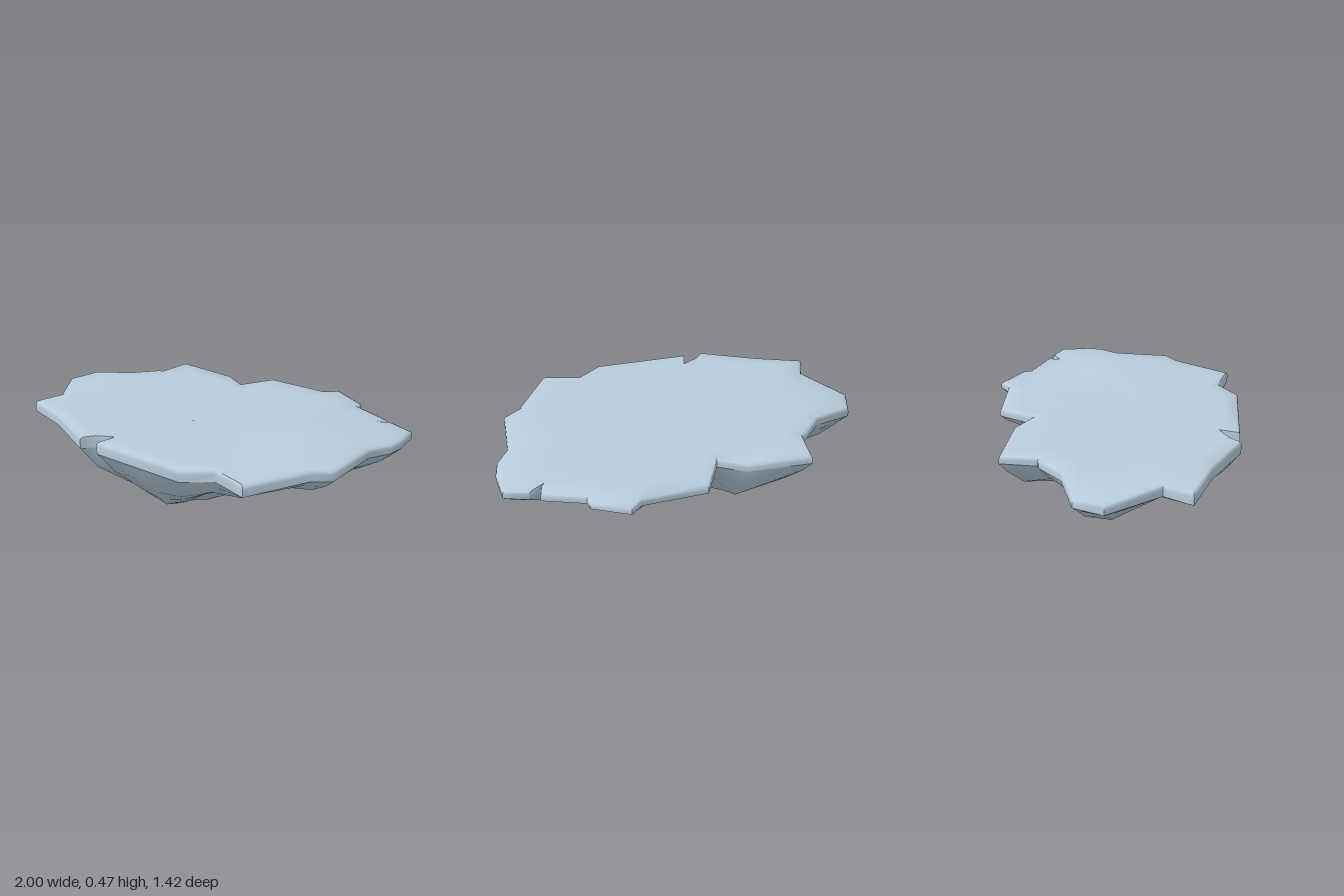
import * as THREE from 'three';
import { toCreasedNormals } from 'three/addons/utils/BufferGeometryUtils.js';

// Island outline, clockwise from above: x, z, and which rock profile hangs beneath
// (0 ramp, 1 shallow, 2 shelf, 3 lobe, 4 keel, with blends between)
const OUTLINE = [
  [-0.03, -0.62, 1], [0.31, -0.655, 1], [0.37, -0.715, 1], [0.56, -0.63, 1],
  [0.57, -0.585, 1], [0.79, -0.52, 1.2], [0.78, -0.455, 1.2], [0.845, -0.5, 1.3],
  [0.97, -0.465, 1.6], [0.995, -0.31, 2], [0.985, -0.22, 2], [0.925, -0.11, 2],
  [0.925, 0.21, 2], [0.84, 0.28, 1.5], [0.68, 0.6, 1.2], [0.48, 0.56, 2.2],
  [0.35, 0.67, 3.4], [0.08, 0.685, 4], [-0.18, 0.7, 3.8], [-0.16, 0.6, 3.7],
  [-0.25, 0.655, 3.6], [-0.29, 0.71, 3.5], [-0.6, 0.58, 2], [-0.86, 0.51, 1.2],
  [-0.81, 0.36, 1.2], [-1.0, 0.11, 2.7], [-0.96, -0.045, 2.9], [-0.745, -0.14, 2.6],
  [-0.64, -0.27, 2], [-0.615, -0.28, 2.2], [-0.61, -0.48, 2.9], [-0.26, -0.485, 0],
  [-0.12, -0.415, 0.7],
];
const CENTRE = [0.02, 0.18];

// Underside sections: reach toward the rim, then the height of each rock profile
const SECTIONS = [
  [0.95, [0.31, 0.365, 0.35, 0.33, 0.35]],
  [0.86, [0.185, 0.34, 0.3, 0.245, 0.275]],
  [0.7, [0.14, 0.295, 0.285, 0.195, 0.18]],
  [0.6, [0.105, 0.26, 0.21, 0.17, 0.115]],
  [0.5, [0.075, 0.22, 0.185, 0.145, 0.06]],
  [0.3, [0.035, 0.115, 0.1, 0.09, 0.02]],
  [0.14, [0.012, 0.02, 0.02, 0.012, 0.003]],
];

// Gentle rise and fall of the top surface
function topHeight(x, z) {
  const leftDip = 0.025 * THREE.MathUtils.smoothstep(-x, 0.75, 1);
  const backDip = 0.015 * THREE.MathUtils.smoothstep(-z, 0.2, 0.7);
  const hump = 0.025 * Math.exp(-((x - 0.65) ** 2) / 0.03 - z * z / 0.08);
  return 0.447 - leftDip - backDip + hump;
}
const rimBottom = (x, z) => topHeight(x, z) - 0.052 - 0.018 * z;

// One ring of a shape around the centre; height is a function of x, z and rock profile
function ring(outline, reach, height) {
  return outline.map(([ox, oz, profile]) => {
    const x = THREE.MathUtils.lerp(CENTRE[0], ox, reach);
    const z = THREE.MathUtils.lerp(CENTRE[1], oz, reach);
    return [x, height(x, z, profile), z];
  });
}

// Outline with its notches softened by an amount from 0 to 1
function soften(amount) {
  const n = OUTLINE.length;
  return OUTLINE.map((p, i) => {
    const before = OUTLINE[(i + n - 1) % n], after = OUTLINE[(i + 1) % n];
    const ease = (k) => THREE.MathUtils.lerp(p[k], (before[k] + p[k] + after[k]) / 3, amount);
    return [ease(0), ease(1), p[2]];
  });
}

// Height between two neighbouring rock profiles
function blend(heights, profile) {
  const low = Math.min(Math.floor(profile), heights.length - 2);
  return THREE.MathUtils.lerp(heights[low], heights[low + 1], profile - low);
}

// Skin a series of rings
function loft(rings, crease) {
  const n = OUTLINE.length;
  const index = [];
  for (let r = 0; r < rings.length - 1; r++) {
    for (let i = 0; i < n; i++) {
      const j = (i + 1) % n;
      const a = r * n + i, b = r * n + j, c = a + n, d = b + n;
      index.push(a, b, d, a, d, c);
    }
  }
  const geometry = new THREE.BufferGeometry();
  geometry.setAttribute('position', new THREE.Float32BufferAttribute(rings.flat(2), 3));
  geometry.setIndex(index);
  return toCreasedNormals(geometry, crease);
}

export function createModel() {
  const group = new THREE.Group();
  group.name = 'floatingRock';
  const stone = new THREE.MeshStandardMaterial({ color: 0xb8ccdc });
  stone.name = 'blueGreyStone';

  // Top slab with a softened rim
  const slabRings = [0.001, 0.3, 0.6, 0.85, 0.975].map((f) => ring(OUTLINE, f, topHeight));
  slabRings.push(ring(OUTLINE, 0.995, (x, z) => topHeight(x, z) - 0.008));
  slabRings.push(ring(OUTLINE, 1, (x, z) => topHeight(x, z) - 0.022));
  slabRings.push(ring(OUTLINE, 1, rimBottom));
  const slab = new THREE.Mesh(loft(slabRings, 0.9), stone);
  slab.name = 'topSlab';

  // Rock with a front keel, a side shelf and hanging lobes behind
  const rockRings = [ring(OUTLINE, 1, rimBottom)];
  for (const [reach, heights] of SECTIONS) {
    rockRings.push(ring(soften(1 - reach), reach, (x, z, profile) => blend(heights, profile)));
  }
  rockRings.push(ring(OUTLINE, 0.001, () => 0));
  const rock = new THREE.Mesh(loft(rockRings, 1.5), stone);
  rock.name = 'undersideRock';

  group.add(slab, rock);
  return group;
}
